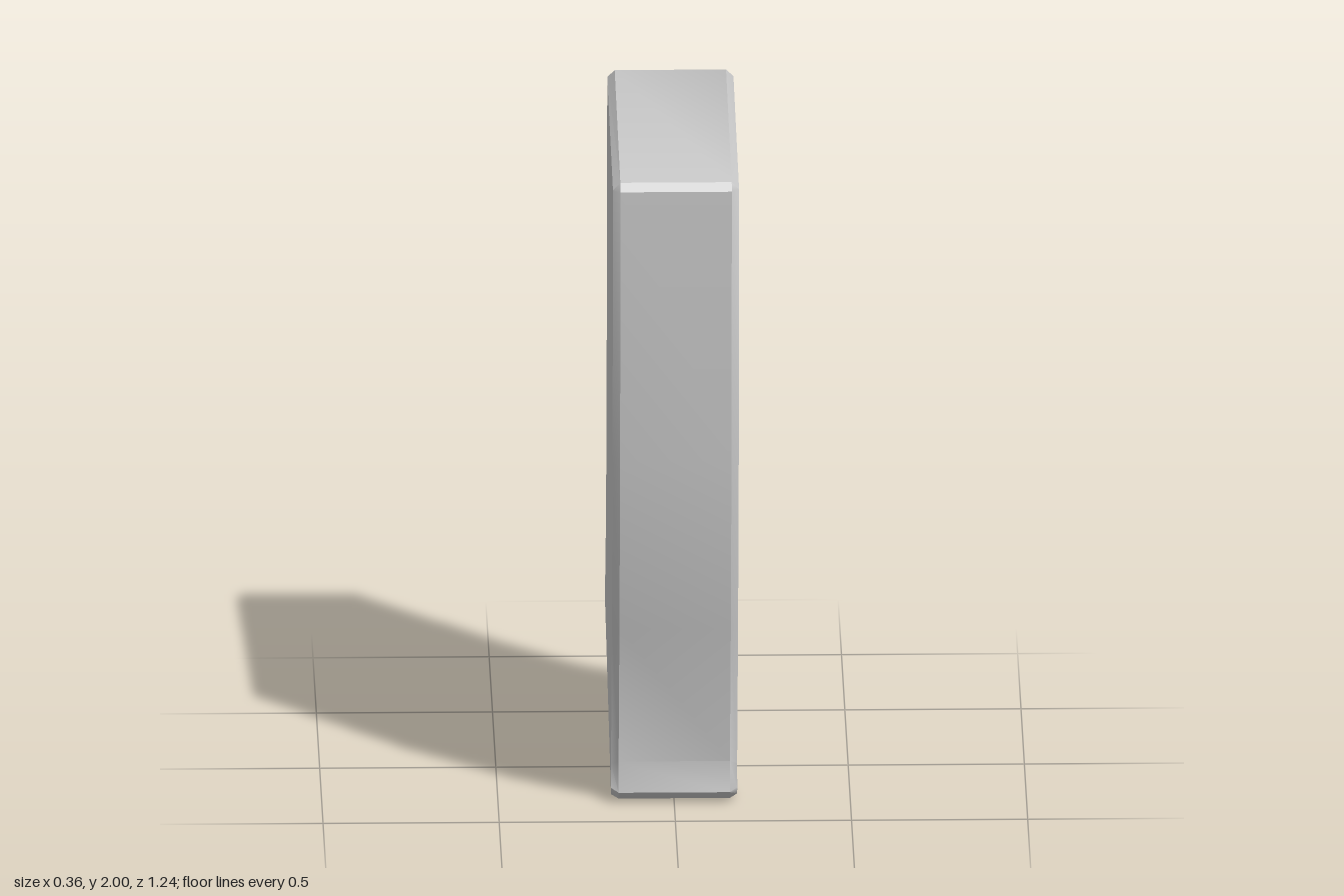
import * as THREE from 'three';
import { toCreasedNormals } from 'three/addons/utils/BufferGeometryUtils.js';

// Side profile, going up the front, over the top, down the back:
// [rim z, rim y, side-face z, side-face y]
const PROFILE = [
  [0.285, 0.0, 0.305, 0.018],
  [0.315, 0.008, 0.316, 0.022],
  [0.345, 0.035, 0.33, 0.045],
  [0.335, 0.125, 0.31, 0.11],
  [0.47, 0.565, 0.45, 0.57],
  [0.57, 1.1, 0.55, 1.095],
  [0.62, 1.92, 0.6, 1.92],
  [0.603, 1.943, 0.6, 1.92],
  [-0.245, 2.0, -0.245, 1.98],
  [-0.268, 1.985, -0.245, 1.98],
  [-0.335, 1.24, -0.317, 1.235],
  [-0.41, 0.78, -0.392, 0.77],
  [-0.54, 0.415, -0.525, 0.39],
  [-0.592, 0.382, -0.585, 0.38],
  [-0.617, 0.36, -0.6, 0.355],
  [-0.617, 0.322, -0.605, 0.322],
  [-0.59, 0.29, -0.592, 0.308],
];

// Bevelled slab: side face, rim, rim, side face
function bevelledSlab(profile, rimX, sideX) {
  const n = profile.length;
  const rim = (x) => profile.map(([z, y]) => new THREE.Vector3(x, y, z));
  const side = (x) => profile.map(([, , z, y]) => new THREE.Vector3(x, y, z));
  const rows = [side(-sideX), rim(-rimX), rim(rimX), side(sideX)];
  const pos = [];
  const tri = (a, b, c) => {
    if (a.equals(b) || b.equals(c) || a.equals(c)) return;
    for (const p of [a, b, c]) pos.push(p.x, p.y, p.z);
  };

  // bevels and edge band
  for (let r = 0; r < 3; r++) {
    for (let i = 0; i < n; i++) {
      const j = (i + 1) % n;
      const a = rows[r][i], b = rows[r][j], c = rows[r + 1][i], d = rows[r + 1][j];
      tri(a, c, b);
      tri(b, c, d);
    }
  }

  // flat sides, with coincident corners dropped
  const keep = profile.map((_, i) => i).filter((i) => !rows[0][i].equals(rows[0][(i + 1) % n]));
  const outline = keep.map((i) => new THREE.Vector2(profile[i][2], profile[i][3]));
  for (const [a, b, c] of THREE.ShapeUtils.triangulateShape(outline, [])) {
    tri(rows[0][keep[a]], rows[0][keep[b]], rows[0][keep[c]]);
    tri(rows[3][keep[a]], rows[3][keep[c]], rows[3][keep[b]]);
  }

  const geometry = new THREE.BufferGeometry();
  geometry.setAttribute('position', new THREE.Float32BufferAttribute(pos, 3));
  return toCreasedNormals(geometry, 0.65);
}

export function createModel() {
  const group = new THREE.Group();
  group.name = 'curvedMagazine';
  const body = new THREE.Mesh(
    bevelledSlab(PROFILE, 0.158, 0.179),
    new THREE.MeshStandardMaterial({ color: 0xcccccc })
  );
  body.name = 'magazineBody';
  group.add(body);
  return group;
}
